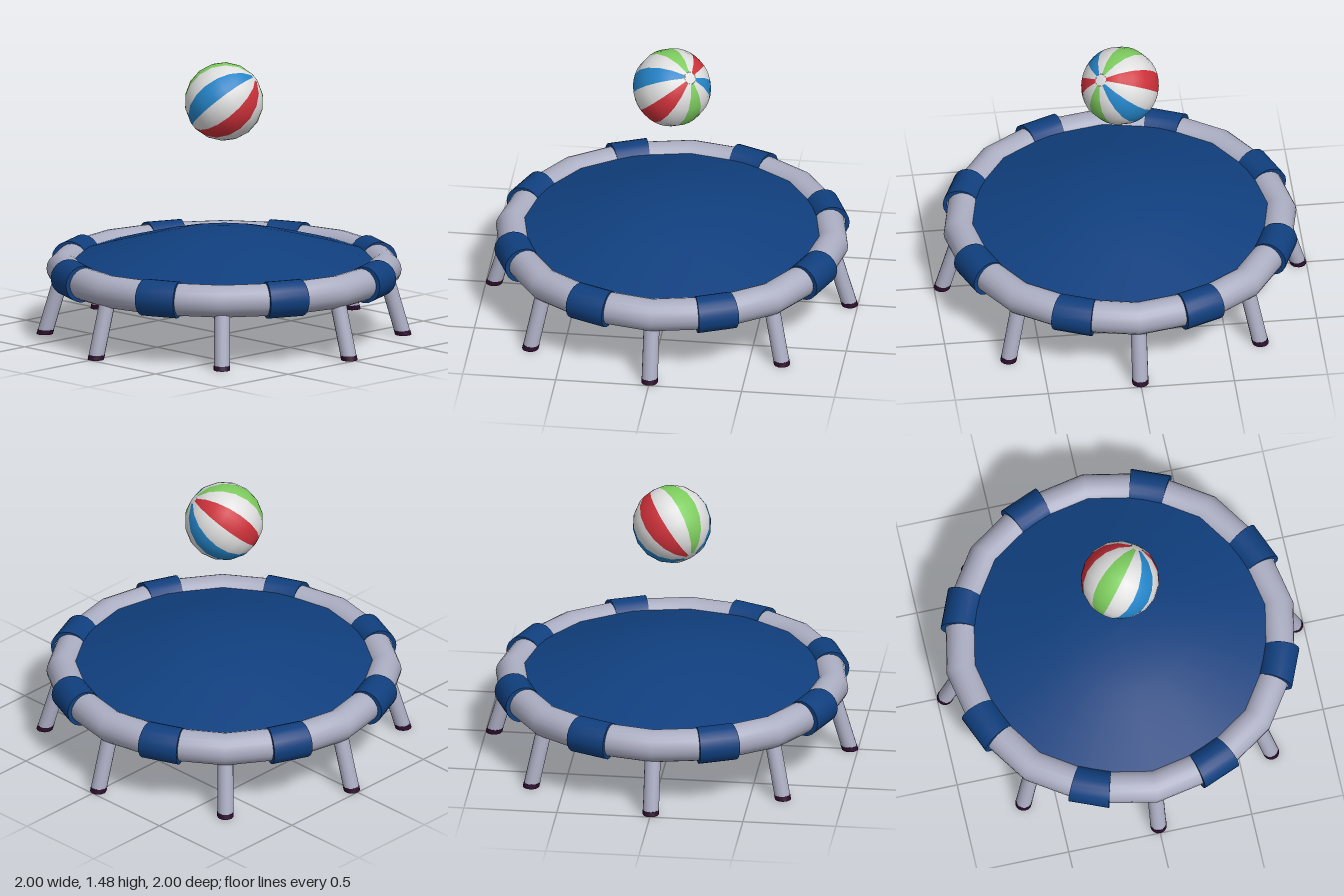
import * as THREE from 'three';
import { mergeGeometries } from 'three/addons/utils/BufferGeometryUtils.js';

const mat = (name, color, side = THREE.FrontSide) => {
  const m = new THREE.MeshStandardMaterial({ color, side });
  m.name = name;
  return m;
};

const RING_R = 0.86, RING_Y = 0.355, TUBE = 0.0875, BAND = 0.099;

function add(parent, name, geometry, material) {
  const mesh = new THREE.Mesh(geometry, material);
  mesh.name = name;
  parent.add(mesh);
  return mesh;
}

// Short mitred sleeve around the frame tube, closed at both ends
function bandGeometry() {
  const half = THREE.MathUtils.degToRad(6.6);
  const sleeve = new THREE.TorusGeometry(RING_R, BAND, 20, 1, half * 2).rotateZ(-half);
  const ends = [1, -1].map(s => new THREE.RingGeometry(TUBE - 0.012, BAND, 20)
    .rotateX(-s * Math.PI / 2).translate(RING_R, 0, 0).rotateZ(s * half));
  return mergeGeometries([sleeve, ...ends]).rotateX(Math.PI / 2);
}

// Leaning legs with horizontal ends
function lean(geometry) {
  const shear = new THREE.Matrix4().set(
    1, -0.29, 0, 0.957,
    0, 1, 0, 0,
    0, 0, 1, 0,
    0, 0, 0, 1);
  return geometry.applyMatrix4(shear);
}

function createBall(colors, white) {
  const ball = new THREE.Group();
  ball.name = 'ball';
  const r = 0.21, tip = THREE.MathUtils.degToRad(9), wedge = Math.PI / 6;

  // Alternating white and coloured gores, clockwise around the pole
  for (let i = 0; i < 12; i++) {
    const centre = Math.PI * 1.5 - i * wedge;
    const gore = new THREE.SphereGeometry(r, 1, 8, centre - wedge / 2, wedge, tip, Math.PI - 2 * tip);
    const painted = i % 2 === 0;
    add(ball, painted ? 'colouredGore' : 'whiteGore', gore, painted ? colors[(i / 2) % 3] : white);
  }
  // White end caps
  for (const start of [0, Math.PI - tip])
    add(ball, 'ballEnd', new THREE.SphereGeometry(r, 12, 1, Math.PI / 12, Math.PI * 2, start, tip), white);

  // Tilt the pole towards the front left
  const y = new THREE.Vector3(0.54, 0.63, 0.56).normalize();
  const z = new THREE.Vector3(0, -1, 0).addScaledVector(y, y.y).normalize();
  const x = new THREE.Vector3().crossVectors(y, z);
  ball.quaternion.setFromRotationMatrix(new THREE.Matrix4().makeBasis(x, y, z));
  ball.position.set(0, 1.267, 0);
  return ball;
}

export function createModel() {
  const model = new THREE.Group();
  model.name = 'trampolineWithBall';

  const grey = mat('frameGrey', 0xabadc2);
  const navy = mat('navyBlue', 0x103f7e);
  const sheet = mat('sheetBlue', 0x103f7e, THREE.DoubleSide);
  const rubber = mat('darkRubber', 0x2c0d2c);
  const white = mat('ballWhite', 0xdedede);
  const ballColors = [mat('ballGreen', 0x7dcc5e), mat('ballRed', 0xcc3039), mat('ballBlue', 0x2484c8)];

  // Padded frame ring
  const ring = add(model, 'frameRing', new THREE.TorusGeometry(RING_R, TUBE, 20, 16).rotateX(Math.PI / 2), grey);
  ring.position.y = RING_Y;

  // Domed jumping sheet
  const profile = [[0.81, 0.405], [0.66, 0.45], [0.5, 0.495], [0.38, 0.527], [0.26, 0.553], [0.12, 0.569], [0, 0.572]]
    .map(([x, y]) => new THREE.Vector2(x, y));
  add(model, 'jumpingSheet', new THREE.LatheGeometry(profile, 16), sheet);

  // Bands and legs, eight of each
  const band = bandGeometry();
  const leg = lean(new THREE.CylinderGeometry(0.043, 0.043, 0.32, 16, 1, true).translate(0, 0.18, 0));
  const foot = lean(mergeGeometries([
    new THREE.CylinderGeometry(0.044, 0.044, 0.025, 16, 1, true).translate(0, 0.0125, 0),
    new THREE.RingGeometry(0.026, 0.044, 16).rotateX(Math.PI / 2),
    new THREE.RingGeometry(0.04, 0.044, 16).rotateX(-Math.PI / 2).translate(0, 0.025, 0),
  ]));
  const plug = lean(new THREE.CircleGeometry(0.03, 16).rotateX(Math.PI / 2).translate(0, 0.002, 0));
  for (let i = 0; i < 8; i++) {
    const angle = i * Math.PI / 4;
    const sleeve = add(model, 'frameBand', band, navy);
    sleeve.position.y = RING_Y;
    sleeve.rotation.y = angle + Math.PI / 8;

    const support = new THREE.Group();
    support.name = 'leg';
    support.rotation.y = angle;
    add(support, 'legTube', leg, grey);
    add(support, 'footCap', foot, rubber);
    add(support, 'legEnd', plug, grey);
    model.add(support);
  }

  model.add(createBall(ballColors, white));
  return model;
}
